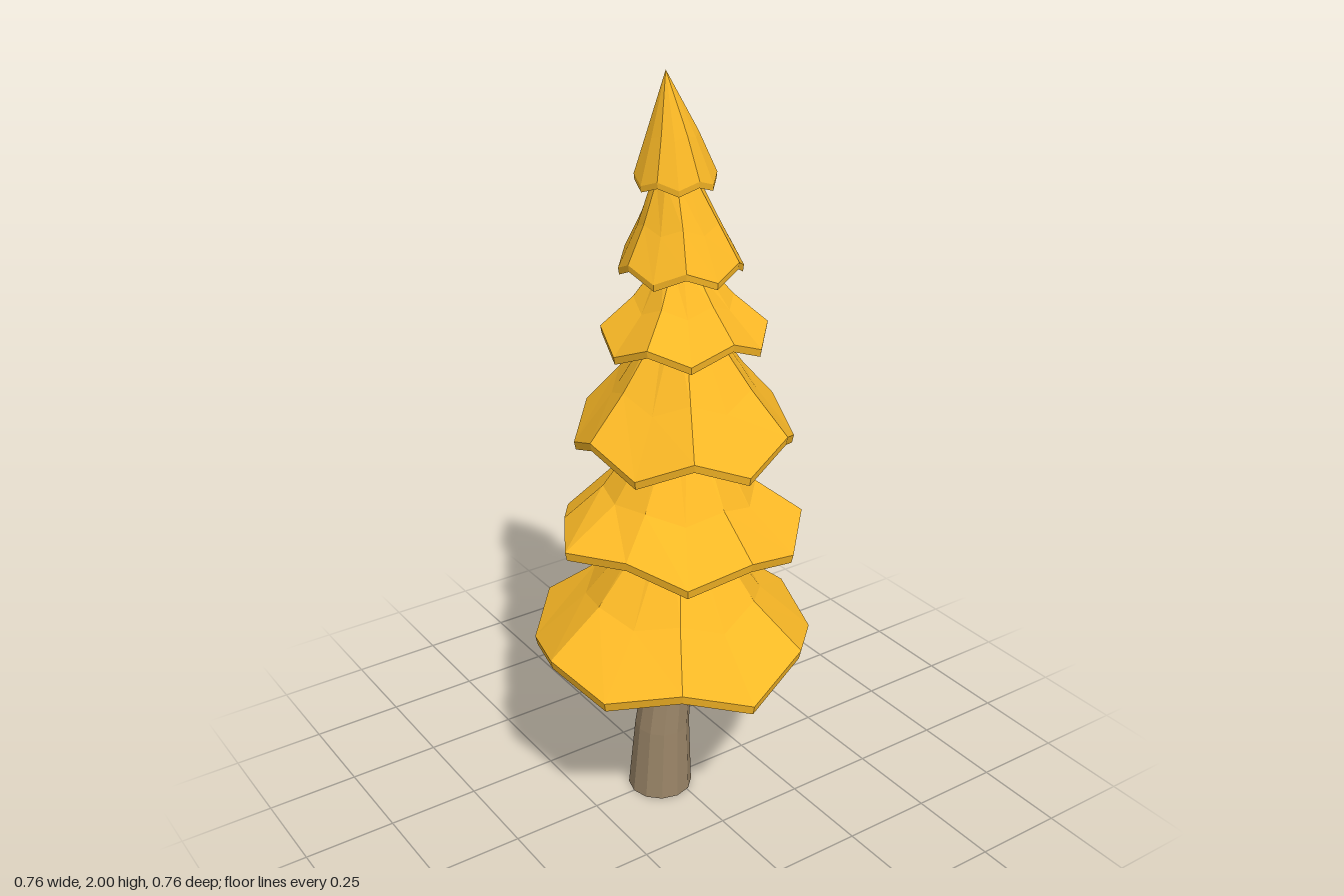
import * as THREE from 'three';

const foliage = new THREE.MeshStandardMaterial({ color: 0xfbb926, flatShading: true });
const bark = new THREE.MeshStandardMaterial({ color: 0x988366, flatShading: true });

// Centre line of the gently bent tree: [height, x]
const AXIS = [[0, -0.038], [0.2, -0.03], [0.45, 0], [0.8, 0.02], [1.1, 0.04],
  [1.35, 0.04], [1.55, 0.03], [1.75, 0.012], [2, -0.015]];

function axisX(y) {
  for (let i = 1; i < AXIS.length; i++) {
    const [y0, x0] = AXIS[i - 1], [y1, x1] = AXIS[i];
    if (y <= y1) return THREE.MathUtils.lerp(x0, x1, (y - y0) / (y1 - y0));
  }
  return AXIS[AXIS.length - 1][1];
}

// One ring of points; heightAt gives each corner's height, pull scales single corners
function ring(cx, radius, heightAt, pull = {}) {
  const sides = 12;
  return Array.from({ length: sides }, (_, i) => {
    const a = (i / sides) * Math.PI * 2, r = radius * (pull[i] ?? 1);
    return new THREE.Vector3(cx + r * Math.sin(a), heightAt(i), r * Math.cos(a));
  });
}

// Faceted skin over rings, listed from the top down the outside
function loft(rings, material, name) {
  const pos = [];
  const tri = (...corners) => {
    if (new THREE.Triangle(...corners).getArea() > 1e-9) corners.forEach((p) => pos.push(p.x, p.y, p.z));
  };
  for (let r = 0; r < rings.length - 1; r++) {
    const up = rings[r], low = rings[r + 1], n = up.length;
    for (let i = 0; i < n; i++) {
      const j = (i + 1) % n;
      tri(up[i], low[i], low[j]);
      tri(up[i], low[j], up[j]);
    }
  }
  const geo = new THREE.BufferGeometry();
  geo.setAttribute('position', new THREE.Float32BufferAttribute(pos, 3));
  geo.computeVertexNormals();
  const mesh = new THREE.Mesh(geo, material);
  mesh.name = name;
  return mesh;
}

// Skirt of branches with a zigzag rim and a straight conical underside
function tier({ name, cx, radius, low, high, lowFirst, mid, top, fixed = {}, pull }) {
  const thick = 0.012 + radius * 0.035;
  const rimMean = (low + high) / 2;
  const rimY = (i) => fixed[i] ?? ((i % 2 === 0) === lowFirst ? low : high);
  const midY = (i) => mid[1] + (rimY(i) - rimMean) * 0.6;
  const topX = axisX(top[1]);
  const midX = THREE.MathUtils.lerp(cx, topX, 0.3);

  // The underside rises a little less steeply than the flare above it
  const innerR = 0.04;
  const flare = (mid[1] - rimMean - thick) / (radius - mid[0]);
  const innerY = rimMean + 0.78 * flare * (radius - innerR);

  return loft([
    ring(topX, top[0], () => top[1]),
    ring(midX, mid[0], midY),
    ring(cx, radius, (i) => rimY(i) + thick, pull),
    ring(cx, radius * 0.985, rimY, pull),
    ring(axisX(innerY), innerR, () => innerY),
  ], foliage, name);
}

export function createModel() {
  const tree = new THREE.Group();
  tree.name = 'tree';

  // Trunk: flared foot, closed at the base, running up inside the foliage
  const trunk = [[1.8, 0], [1.8, 0.04], [1.72, 0.05], [1.1, 0.052], [0.8, 0.055],
    [0.45, 0.061], [0.2, 0.075], [0, 0.088], [0, 0]];
  tree.add(loft(trunk.map(([y, r]) => ring(axisX(y), r, () => y)), bark, 'trunk'));

  // Foliage tiers from the bottom up; mid and top are [radius, height]
  const tiers = [
    { cx: 0, radius: 0.378, low: 0.455, high: 0.495, lowFirst: true, mid: [0.235, 0.62], top: [0.055, 0.85], fixed: { 0: 0.42, 6: 0.48 }, pull: { 8: 0.975, 10: 1.03 } },
    { cx: 0.02, radius: 0.33, low: 0.765, high: 0.81, lowFirst: false, mid: [0.2, 0.91], top: [0.055, 1.14], fixed: { 9: 0.8 }, pull: { 3: 1.015, 8: 0.9, 9: 1.045, 10: 0.9 } },
    { cx: 0.042, radius: 0.285, low: 1.025, high: 1.085, lowFirst: true, mid: [0.185, 1.2], top: [0.055, 1.39] },
    { cx: 0.04, radius: 0.21, low: 1.31, high: 1.345, lowFirst: false, mid: [0.125, 1.43], top: [0.052, 1.53], fixed: { 0: 1.355, 9: 1.3 } },
    { cx: 0.03, radius: 0.155, low: 1.498, high: 1.53, lowFirst: true, mid: [0.104, 1.63], top: [0.055, 1.74] },
    { cx: 0.013, radius: 0.1, low: 1.72, high: 1.738, lowFirst: false, mid: [0.061, 1.85], top: [0, 2] },
  ];
  tiers.forEach((t, i) => tree.add(tier({ name: `foliageTier${i + 1}`, ...t })));
  return tree;
}
